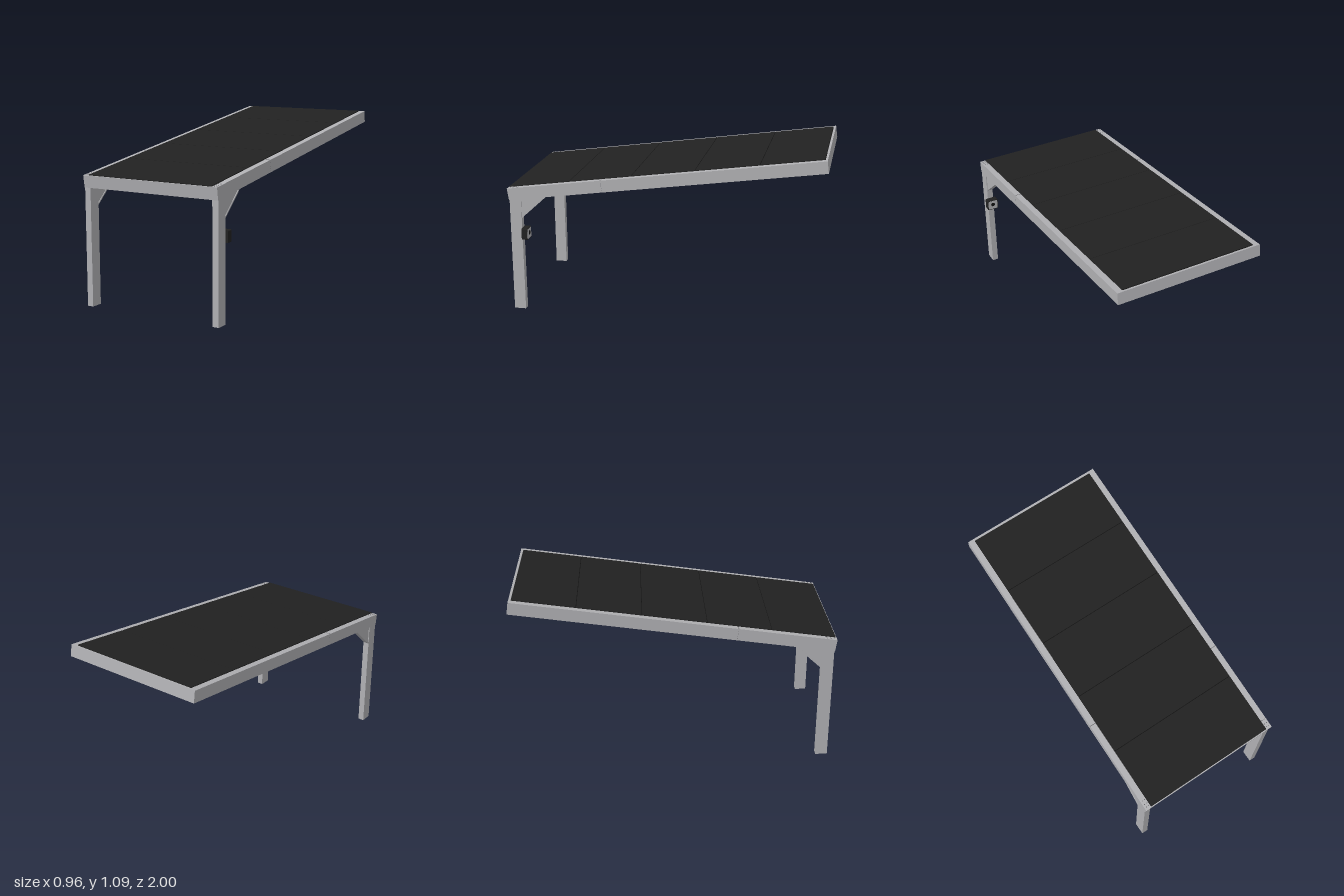
import * as THREE from 'three';

export function createModel() {
  const mat = (name, color, side = THREE.FrontSide) => {
    const m = new THREE.MeshStandardMaterial({ color, side });
    m.name = name;
    return m;
  };
  const metal = mat('grey metal', 0xb0b0b3);
  const panelBlack = mat('panel black', 0x212121);
  const seamBlack = mat('seam black', 0x101010);
  const jointGrey = mat('joint grey', 0x68686b);

  const model = new THREE.Group();
  model.name = 'solarCanopy';
  const add = (parent, name, geometry, material, x, y, z) => {
    const mesh = new THREE.Mesh(geometry, material);
    mesh.name = name;
    mesh.position.set(x, y, z);
    parent.add(mesh);
    return mesh;
  };
  const box = (parent, name, material, w, h, d, x, y, z) =>
    add(parent, name, new THREE.BoxGeometry(w, h, d), material, x, y, z);

  // Tilted roof: local y = 0 is the top of the rails, +z the low front end
  const L = 2.008, T = 0.076, MID = -0.0085;
  const roof = new THREE.Group();
  roof.name = 'roof';
  roof.position.set(0, 0.947, 0.0055);
  roof.rotation.x = 0.1402;
  model.add(roof);

  // Frame of two side rails and two end beams
  const railX = [-0.457, 0.440];
  for (const x of railX) {
    box(roof, 'sideRail', metal, 0.042, T, L, x, -T / 2, 0);
    const outer = x + Math.sign(x) * 0.0212;
    // Splice joint on top, and its row of rivets on the outer face
    box(roof, 'railJoint', jointGrey, 0.042, 0.001, 0.004, x, 0.0003, 0.392);
    for (let i = 0; i < 5; i++)
      box(roof, 'jointRivet', jointGrey, 0.001, 0.004, 0.003, outer, -0.015 - i * 0.012, 0.392);
    // Bolts at the front end
    for (const dx of [-0.008, 0.008])
      for (const z of [0.94, 0.965, 0.985])
        add(roof, 'railBolt', new THREE.CylinderGeometry(0.003, 0.003, 0.003, 10), jointGrey, x + dx, 0.001, z);
  }
  const W = 0.856, CX = MID;
  for (const s of [-1, 1])
    box(roof, s > 0 ? 'frontBeam' : 'backBeam', metal, W, T, 0.014, CX, -T / 2, s * (L / 2 - 0.007));

  // Ceiling boards under the roof
  box(roof, 'ceiling', metal, W, 0.012, L - 0.028, CX, -T + 0.006, 0);

  // Five solar panels, with dark seams above and grey seams below
  const pitch = 0.4, gap = 0.004, front = 1.0;
  box(roof, 'panelBed', seamBlack, W + 0.004, 0.008, 1.985, CX, -0.0025, front - 0.9955);
  for (let i = 0; i < 5; i++) {
    const d = (i === 4 ? 1.99 - 4 * pitch : pitch) - gap;
    box(roof, 'solarPanel', panelBlack, W + 0.006, 0.01, d, CX, 0, front - i * pitch - gap / 2 - d / 2);
    if (i > 0)
      box(roof, 'ceilingSeam', jointGrey, W + 0.08, 0.001, 0.005, CX, -T - 0.0003, front - i * pitch);
  }

  // Legs with triangular corner braces
  const gusset = new THREE.Shape([
    new THREE.Vector2(-0.915, 0.615),
    new THREE.Vector2(-0.748, 0.767),
    new THREE.Vector2(-0.748, 0.775),
    new THREE.Vector2(-0.915, 0.757),
  ]);
  const flange = new THREE.Shape([
    new THREE.Vector2(-0.91, 0.617),
    new THREE.Vector2(-0.743, 0.769),
    new THREE.Vector2(-0.752, 0.772),
    new THREE.Vector2(-0.91, 0.628),
  ]);
  const brace = (name, shape, width, x) => {
    const g = new THREE.ExtrudeGeometry(shape, { depth: width, bevelEnabled: false });
    g.translate(0, 0, -width / 2);
    g.rotateY(Math.PI / 2);
    add(model, name, g, metal, x, 0, 0);
  };
  for (const x of railX) {
    box(model, 'leg', metal, 0.04, 0.757, 0.075, x, 0.3785, 0.9475);
    brace('braceWeb', gusset, 0.030, x);
    brace('braceFlange', flange, 0.038, x);
  }

  // Charging box on the back of the left leg
  const charger = new THREE.Group();
  charger.name = 'chargingBox';
  charger.position.set(0.44, 0.515, 0.91);
  charger.rotation.y = Math.PI;
  model.add(charger);
  const rounded = (w, h, r) => {
    const s = new THREE.Shape();
    s.absarc(w / 2 - r, h / 2 - r, r, 0, Math.PI / 2);
    s.absarc(-w / 2 + r, h / 2 - r, r, Math.PI / 2, Math.PI);
    s.absarc(-w / 2 + r, -h / 2 + r, r, Math.PI, Math.PI * 1.5);
    s.absarc(w / 2 - r, -h / 2 + r, r, Math.PI * 1.5, Math.PI * 2);
    return s;
  };
  const slab = (name, w, h, r, depth, material, z) =>
    add(charger, name, new THREE.ExtrudeGeometry(rounded(w, h, r), { depth, bevelEnabled: false, curveSegments: 5 }),
      material, 0, 0, z);
  slab('chargerBody', 0.076, 0.074, 0.008, 0.038, panelBlack, 0);
  slab('chargerFace', 0.066, 0.064, 0.006, 0.002, metal, 0.038);
  const socket = add(charger, 'chargerSocket', new THREE.CylinderGeometry(0.014, 0.014, 0.003, 20), seamBlack, 0, 0.004, 0.0405);
  socket.rotation.x = Math.PI / 2;

  return model;
}
